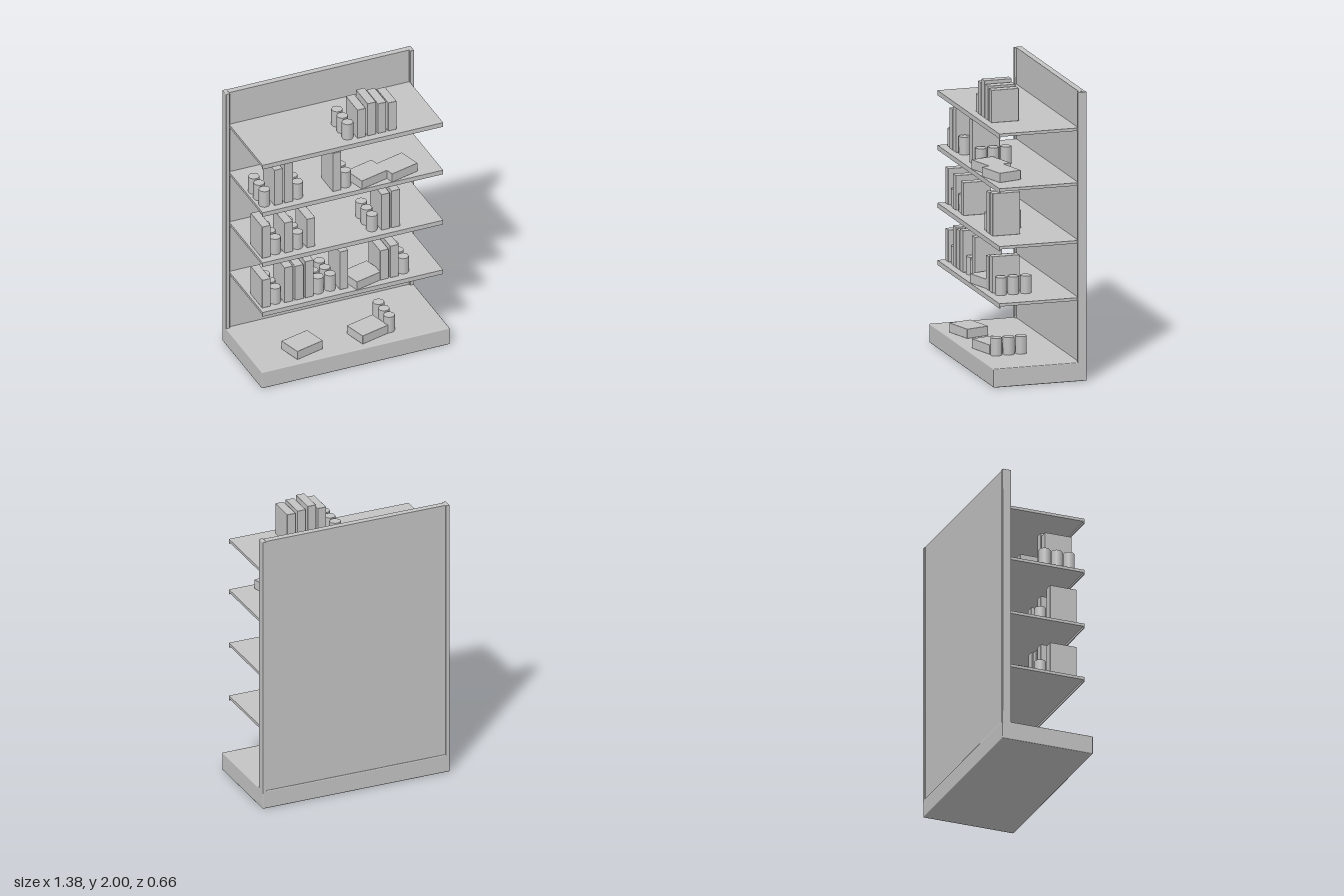
import * as THREE from 'three';
import { RoundedBoxGeometry } from 'three/addons/geometries/RoundedBoxGeometry.js';

const grey = new THREE.MeshStandardMaterial({ color: 0xc4c4c4 });
grey.name = 'light grey';

// Box given by its extents, with slightly eased edges
function block(parent, name, [x0, x1], [y0, y1], [z0, z1], ease = 0) {
  const w = x1 - x0, h = y1 - y0, d = z1 - z0;
  const geometry = ease
    ? new RoundedBoxGeometry(w, h, d, 1, ease)
    : new THREE.BoxGeometry(w, h, d);
  const mesh = new THREE.Mesh(geometry, grey);
  mesh.name = name;
  mesh.position.set((x0 + x1) / 2, (y0 + y1) / 2, (z0 + z1) / 2);
  parent.add(mesh);
  return mesh;
}

// Upright carton: left edge x, standing on y, reaching up to top
function carton(parent, y, x, top) {
  block(parent, 'uprightCarton', [x, x + 0.062], [y, top], [0.036, 0.23], 0.003);
}

// Row of three cans running front to back
const canGeometry = new THREE.CylinderGeometry(0.039, 0.039, 0.122, 8);
canGeometry.rotateY(Math.PI / 8);
function cans(parent, y, x) {
  for (const z of [0.01, 0.098, 0.186]) {
    const can = new THREE.Mesh(canGeometry, grey);
    can.name = 'can';
    can.position.set(x, y + 0.061, z);
    parent.add(can);
  }
}

// Flat box lying at a slight angle, x is its front left corner
function flatBox(parent, y, x) {
  const box = block(parent, 'flatBox', [-0.11, 0.11], [y, y + 0.066], [-0.085, 0.085], 0.003);
  box.position.x = x + 0.084;
  box.position.z = 0.17;
  box.rotation.y = THREE.MathUtils.degToRad(15);
}

// Goods on each level: surface height, cartons [left, top], can rows, flat boxes
const levels = [
  { y: 0.13, cartons: [], cans: [0.307], boxes: [-0.407, 0.072] },
  {
    y: 0.571,
    cartons: [[-0.643, 0.793], [-0.479, 0.85], [-0.402, 0.842], [-0.328, 0.86],
      [-0.074, 0.872], [0.222, 0.805], [0.296, 0.823]],
    cans: [-0.53, -0.215, -0.127, 0.41],
    boxes: [0.03],
  },
  {
    y: 0.966,
    cartons: [[-0.643, 1.217], [-0.479, 1.206], [-0.315, 1.194], [0.232, 1.25], [0.306, 1.26]],
    cans: [-0.53, -0.367, 0.18],
    boxes: [],
  },
  {
    y: 1.365,
    cartons: [[-0.554, 1.646], [-0.479, 1.675], [-0.125, 1.67]],
    cans: [-0.608, -0.367, -0.015],
    boxes: [0.066, 0.288],
  },
  {
    y: 1.743,
    cartons: [[0.055, 1.969], [0.13, 2], [0.206, 1.98], [0.281, 1.968]],
    cans: [0.002],
    boxes: [],
  },
];

export function createModel() {
  const model = new THREE.Group();
  model.name = 'storeShelf';

  // Plinth, back panel and side posts
  block(model, 'base', [-0.69, 0.69], [0, 0.13], [-0.33, 0.33], 0.007);
  block(model, 'backPanel', [-0.662, 0.662], [0.12, 1.995], [-0.323, -0.28]);
  for (const [x0, x1] of [[-0.69, -0.66], [0.66, 0.69]]) {
    block(model, 'sidePost', [x0, x1], [0.11, 1.995], [-0.33, -0.266], 0.005);
  }

  levels.forEach((level, i) => {
    const group = new THREE.Group();
    group.name = 'level' + i;
    model.add(group);
    const y = level.y;

    // Shelf board with a thin lip along its front
    if (i > 0) {
      block(group, 'shelfBoard', [-0.662, 0.662], [y - 0.02, y], [-0.281, 0.272]);
      block(group, 'shelfLip', [-0.662, 0.662], [y - 0.033, y], [0.272, 0.28]);
    }

    level.cartons.forEach(([x, top]) => carton(group, y, x, top));
    level.cans.forEach((x) => cans(group, y, x));
    level.boxes.forEach((x) => flatBox(group, y, x));
  });

  return model;
}
